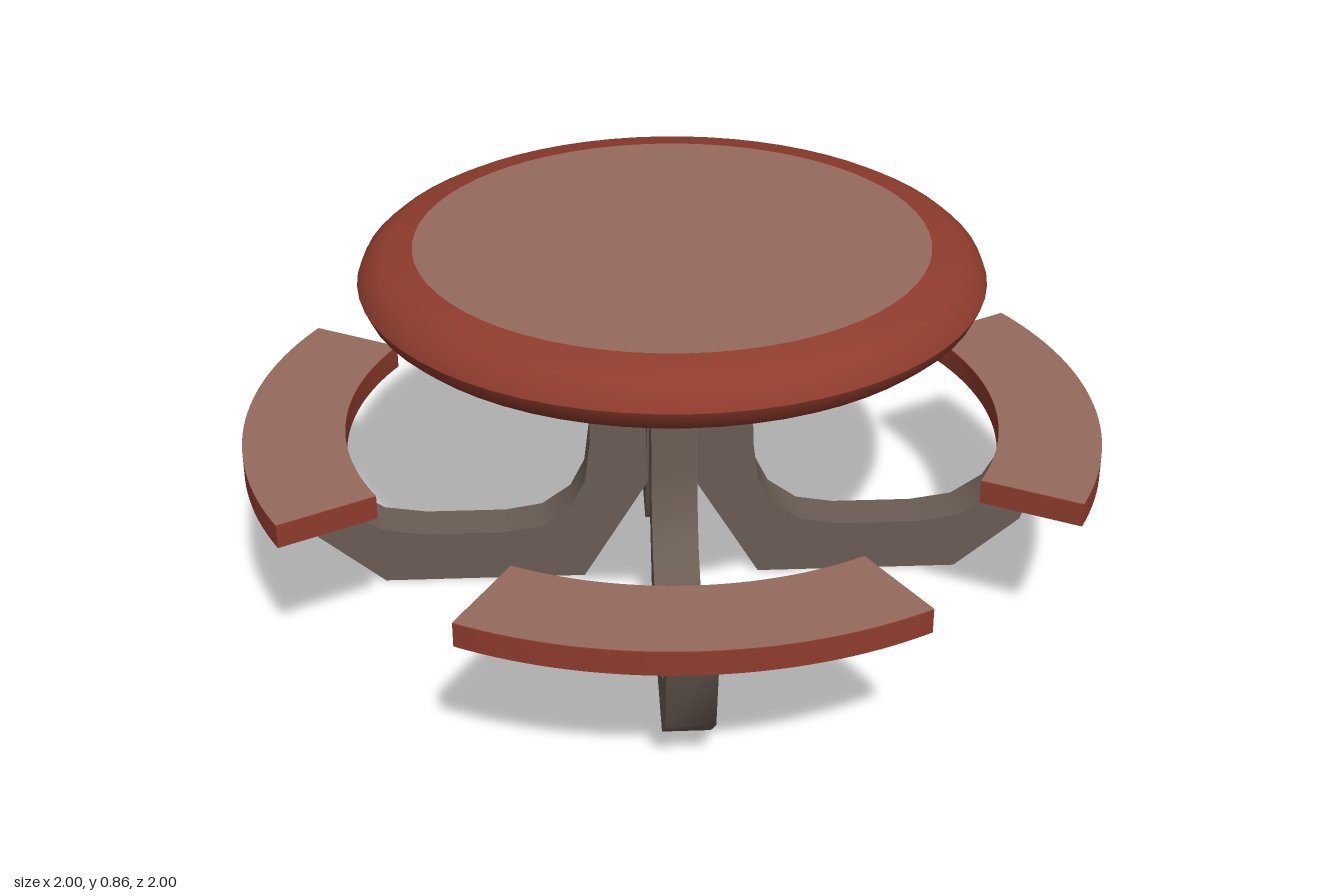
import * as THREE from 'three';
import { toCreasedNormals } from 'three/addons/utils/BufferGeometryUtils.js';

const mat = (name, color) => {
  const m = new THREE.MeshStandardMaterial({ color });
  m.name = name;
  return m;
};

export function createModel() {
  const red = mat('red rim', 0x8f3c2d);
  const tan = mat('tan surface', 0x966b5d);
  const grey = mat('grey brown frame', 0x6a5d54);

  const model = new THREE.Group();
  model.name = 'picnicTable';
  const add = (parent, name, geometry, material) => {
    const mesh = new THREE.Mesh(geometry, material);
    mesh.name = name;
    parent.add(mesh);
    return mesh;
  };

  // Round top with a bulging rim and a tan inlay
  const top = new THREE.Group();
  top.name = 'tableTop';
  top.position.z = -0.004;
  model.add(top);
  const rim = [[0, 0.72], [0.64, 0.72], [0.672, 0.737], [0.698, 0.76], [0.711, 0.79],
    [0.698, 0.82], [0.672, 0.843], [0.64, 0.86], [0, 0.86]].map(p => new THREE.Vector2(...p));
  add(top, 'tableRim', toCreasedNormals(new THREE.LatheGeometry(rim, 64), 0.6), red);
  add(top, 'tableInlay', new THREE.CircleGeometry(0.585, 64).rotateX(-Math.PI / 2).translate(0, 0.862, 0), tan);

  // Curved seat: a ring sector with a tan upper face
  const half = THREE.MathUtils.degToRad(28.9);
  const sector = new THREE.Shape();
  sector.absarc(0, 0, 0.998, -half, half, false);
  sector.absarc(0, 0, 0.763, half, -half, true);
  sector.closePath();
  const seatGeo = toCreasedNormals(
    new THREE.ExtrudeGeometry(sector, { depth: 0.055, bevelEnabled: false, curveSegments: 16 })
      .rotateX(-Math.PI / 2).translate(0, 0.364, 0), 0.6);
  const seatTopGeo = new THREE.ShapeGeometry(sector, 16).rotateX(-Math.PI / 2).translate(0, 0.421, 0);

  // Leg side profile: post, swept foot and upturned seat support
  const profile = [[0.066, 0.72], [0.064, 0.6], [0.056, 0.26], [0.21, 0.003], [0.689, 0.003], [0.842, 0.13],
    [0.914, 0.364], [0.826, 0.364], [0.81, 0.275], [0.765, 0.195], [0.69, 0.145], [0.59, 0.13],
    [0.40, 0.13], [0.31, 0.145], [0.24, 0.195], [0.205, 0.265], [0.193, 0.36], [0.187, 0.6], [0.187, 0.72]];
  const legShape = new THREE.Shape(profile.map(p => new THREE.Vector2(...p)));
  const legGeo = toCreasedNormals(
    new THREE.ExtrudeGeometry(legShape, { depth: 0.106, bevelEnabled: false }).translate(0, -0.003, -0.053), 0.6);

  // Four legs and seats around the centre
  const names = ['left', 'back', 'right', 'front'];
  names.forEach((side, i) => {
    const seat = new THREE.Group();
    seat.name = side + 'Seat';
    seat.rotation.y = i * Math.PI / 2;
    seat.position.z = -0.004;
    add(seat, 'seatBoard', seatGeo, red);
    add(seat, 'seatSurface', seatTopGeo, tan);
    model.add(seat);

    const leg = add(model, side + 'Leg', legGeo, grey);
    leg.rotation.y = i * Math.PI / 2;
    leg.position.set(-0.004, 0, -0.004);
  });
  return model;
}
